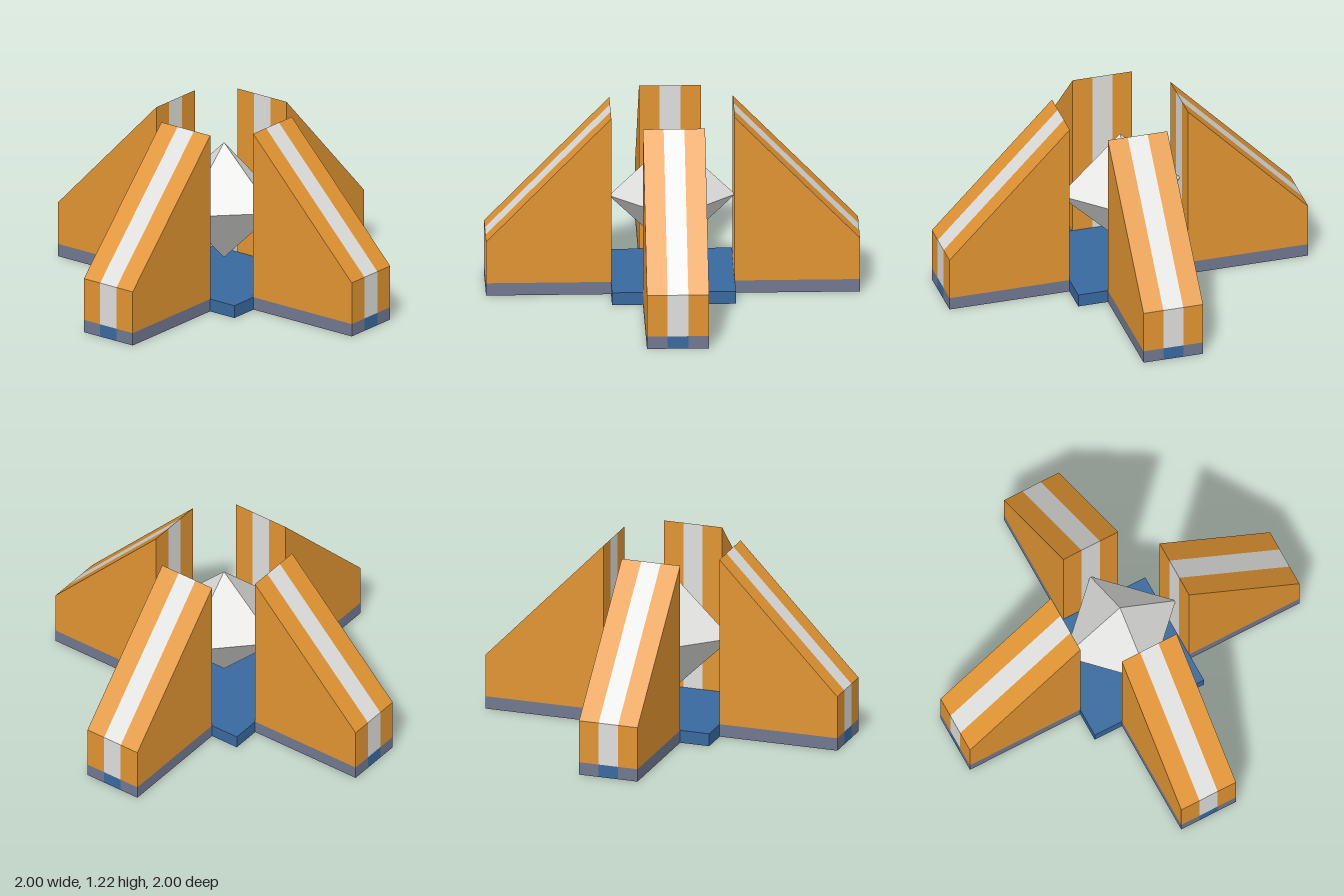
import * as THREE from 'three';

const paint = (name, color) => {
  const m = new THREE.MeshStandardMaterial({ color, side: THREE.DoubleSide });
  m.name = name;
  return m;
};

// Flat mesh from convex polygons, each fanned into triangles
function panels(name, material, polygons) {
  const pos = [];
  for (const p of polygons) {
    for (let i = 1; i < p.length - 1; i++) pos.push(...p[0], ...p[i], ...p[i + 1]);
  }
  const g = new THREE.BufferGeometry();
  g.setAttribute('position', new THREE.Float32BufferAttribute(pos, 3));
  g.computeVertexNormals();
  const mesh = new THREE.Mesh(g, material);
  mesh.name = name;
  return mesh;
}

export function createModel() {
  const orange = paint('orange', 0xe09432);
  const white = paint('light grey', 0xdededc);
  const blue = paint('blue', 0x38699e);
  const slate = paint('slate', 0x70788f);

  const model = new THREE.Group();
  model.name = 'finnedBase';

  const BAND = 0.085;   // height of the painted foot and of the plate
  const HALF = 0.2015;  // half thickness of a fin
  const IN = 0.4, OUT = 1.213, TOP = 1.215, SHOULDER = 0.37;

  // Hollow fin, open underneath: two sides plus a rim striped in thirds
  function makeFin() {
    const fin = new THREE.Group();
    fin.name = 'fin';
    const rim = [[IN, 0], [IN, BAND], [IN, TOP], [OUT, SHOULDER], [OUT, BAND], [OUT, 0]];
    const upper = [], stripe = [], foot = [], footStripe = [];
    for (let s = 0; s < 3; s++) {
      const z0 = -HALF + s * HALF * 2 / 3, z1 = z0 + HALF * 2 / 3;
      for (let i = 0; i < rim.length - 1; i++) {
        const a = rim[i], b = rim[i + 1];
        const quad = [[...a, z0], [...a, z1], [...b, z1], [...b, z0]];
        const isFoot = i === 0 || i === rim.length - 2;
        if (s === 1) (isFoot ? footStripe : stripe).push(quad);
        else (isFoot ? foot : upper).push(quad);
      }
    }
    const side = [[IN, BAND], [OUT, BAND], [OUT, SHOULDER], [IN, TOP]];
    const sideFoot = [[IN, 0], [OUT, 0], [OUT, BAND], [IN, BAND]];
    for (const [outline, list] of [[side, upper], [sideFoot, foot]]) {
      list.push(outline.map(p => [...p, HALF]));
      list.push(outline.map(p => [...p, -HALF]).reverse());
    }
    fin.add(
      panels('finShell', orange, upper),
      panels('finStripe', white, stripe),
      panels('finFoot', slate, foot),
      panels('finFootStripe', blue, footStripe)
    );
    return fin;
  }

  for (let i = 0; i < 4; i++) {
    const fin = makeFin();
    fin.rotation.y = Math.PI / 4 + i * Math.PI / 2;
    model.add(fin);
  }

  // Base plate, a shallow tray open underneath
  const P = 0.402;
  const c = [[-P, P], [P, P], [P, -P], [-P, -P]];
  const tray = [c.map(([x, z]) => [x, BAND, z])];
  c.forEach(([x, z], i) => {
    const [x2, z2] = c[(i + 1) % 4];
    tray.push([[x, 0, z], [x2, 0, z2], [x2, BAND, z2], [x, BAND, z]]);
  });
  const plate = panels('basePlate', blue, tray);
  plate.rotation.y = Math.PI / 4;
  model.add(plate);

  // Floating crystal
  const crystalGeo = new THREE.OctahedronGeometry(1);
  crystalGeo.rotateY(Math.PI / 4);
  crystalGeo.scale(0.29 * Math.SQRT2, 0.398, 0.29 * Math.SQRT2);
  const crystal = new THREE.Mesh(crystalGeo, white);
  crystal.name = 'crystal';
  crystal.position.y = 0.608;
  model.add(crystal);

  return model;
}
